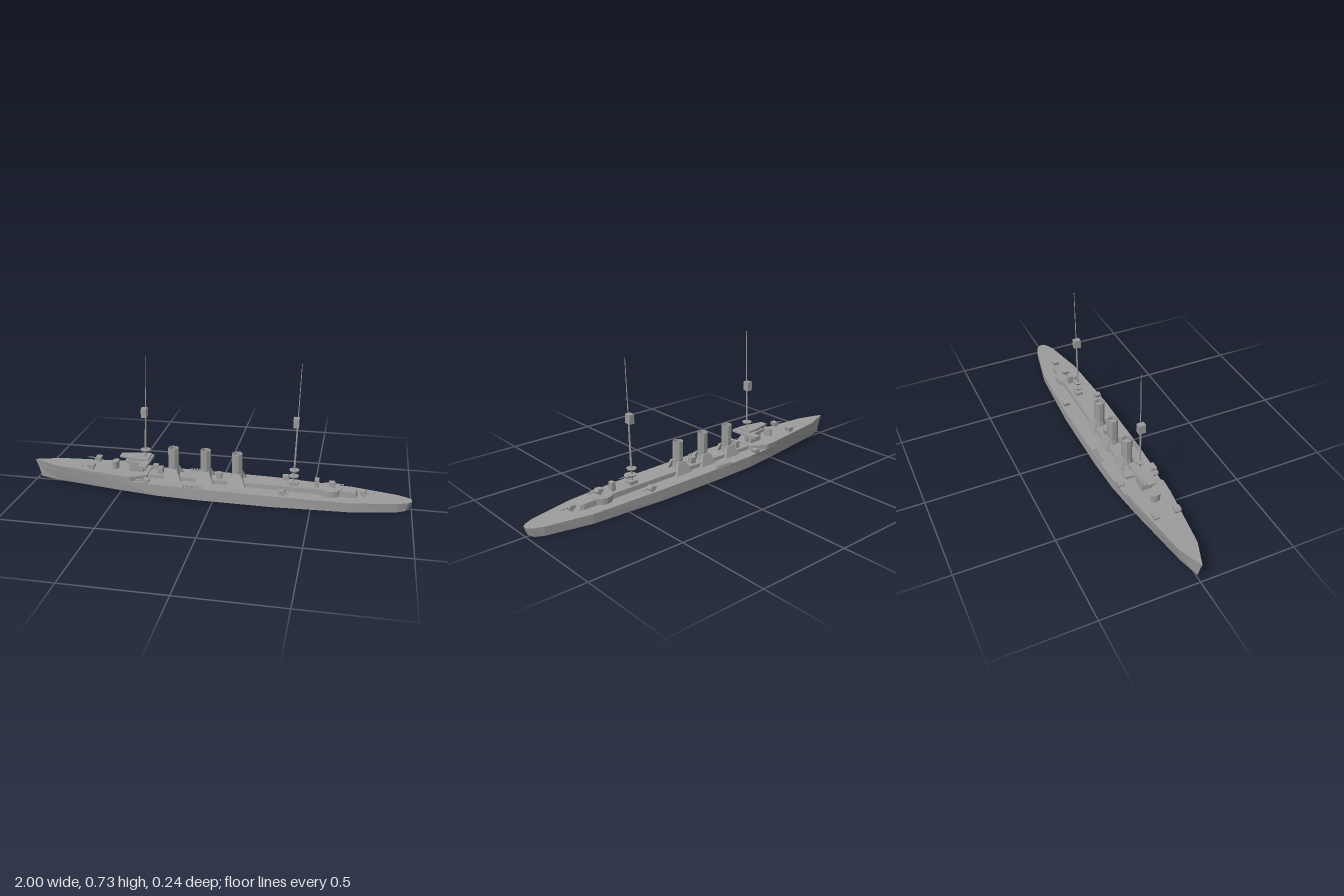
import * as THREE from 'three';

const grey = new THREE.MeshStandardMaterial({ color: 0x9c9c9c });
grey.name = 'ship grey';

export function createModel() {
  const ship = new THREE.Group();
  ship.name = 'warship';

  // Adds a faceted mesh at a position
  function add(name, geometry, x = 0, y = 0, z = 0, parent = ship) {
    const g = geometry.index ? geometry.toNonIndexed() : geometry;
    g.computeVertexNormals();
    const mesh = new THREE.Mesh(g, grey);
    mesh.name = name;
    mesh.position.set(x, y, z);
    parent.add(mesh);
    return mesh;
  }

  // Box standing on y0
  const box = (name, x, y0, z, w, h, d) =>
    add(name, new THREE.BoxGeometry(w, h, d), x, y0 + h / 2, z);

  // Drum standing on y0
  const drum = (name, x, y0, z, rTop, rBottom, h, sides, parent) =>
    add(name, new THREE.CylinderGeometry(rTop, rBottom, h, sides), x, y0 + h / 2, z, parent);

  // Four-sided sections joined along x: [bottom x, y, half width, top x, y, half width]
  function loft(stations) {
    const rings = stations.map(([xb, yb, wb, xt, yt, wt]) =>
      [[xb, yb, wb], [xb, yb, -wb], [xt, yt, -wt], [xt, yt, wt]]);
    const pos = [];
    const quad = (a, b, c, d) => pos.push(...a, ...b, ...c, ...a, ...c, ...d);
    for (let s = 0; s < rings.length - 1; s++) {
      for (let i = 0; i < 4; i++) {
        const j = (i + 1) % 4;
        quad(rings[s][i], rings[s][j], rings[s + 1][j], rings[s + 1][i]);
      }
    }
    quad(...rings[0].slice().reverse());
    quad(...rings[rings.length - 1]);
    const g = new THREE.BufferGeometry();
    g.setAttribute('position', new THREE.Float32BufferAttribute(pos, 3));
    return g;
  }

  // Flat outline in x,z given thickness upward
  function plate(name, points, y, thickness) {
    const shape = new THREE.Shape(points.map(([x, z]) => new THREE.Vector2(x, -z)));
    const g = new THREE.ExtrudeGeometry(shape, { depth: thickness, bevelEnabled: false });
    return add(name, g.rotateX(-Math.PI / 2), 0, y, 0);
  }

  // Hull and raised forecastle
  add('hull', loft([
    [-0.97, 0.018, 0.001, -0.985, 0.076, 0.001],
    [-0.86, 0.017, 0.03, -0.865, 0.076, 0.044],
    [-0.52, 0.015, 0.085, -0.52, 0.076, 0.095],
    [-0.3, 0.012, 0.112, -0.3, 0.075, 0.114],
    [-0.1, 0.01, 0.12, -0.1, 0.073, 0.12],
    [0.3, 0.007, 0.12, 0.3, 0.066, 0.12],
    [0.7, 0.004, 0.097, 0.7, 0.055, 0.1],
    [0.93, 0.003, 0.048, 0.93, 0.051, 0.053],
    [0.97, 0.002, 0.025, 0.98, 0.05, 0.032],
    [0.985, 0.008, 0.01, 1, 0.05, 0.014],
  ]));
  add('forecastle', loft([
    [-0.985, 0.075, 0.001, -1, 0.115, 0.001],
    [-0.865, 0.075, 0.044, -0.87, 0.111, 0.05],
    [-0.52, 0.075, 0.095, -0.52, 0.103, 0.097],
    [-0.44, 0.075, 0.101, -0.44, 0.101, 0.102],
    [-0.36, 0.073, 0.055, -0.36, 0.1, 0.055],
  ]));

  // Long central deckhouse and round aft gun platform
  add('deckhouse', loft([
    [-0.37, 0.06, 0.037, -0.37, 0.094, 0.035],
    [0.64, 0.05, 0.037, 0.64, 0.086, 0.035],
    [0.71, 0.05, 0.035, 0.7, 0.083, 0.033],
    [0.73, 0.05, 0.028, 0.72, 0.08, 0.026],
  ]));
  drum('aftGunPlatform', 0.59, 0.05, 0, 0.06, 0.06, 0.039, 16);

  // Bridge
  const tower = drum('conningTower', -0.545, 0.1, 0, 0.027, 0.027, 0.045, 12);
  tower.scale.x = 0.65;
  box('bridgeHouse', -0.425, 0.098, 0, 0.075, 0.05, 0.055);
  plate('bridgeDeck', [[-0.485, 0.025], [-0.4, 0.04], [-0.4, 0.085], [-0.355, 0.085],
    [-0.355, -0.085], [-0.4, -0.085], [-0.4, -0.04], [-0.485, -0.025]], 0.145, 0.014);
  box('chartHouse', -0.43, 0.158, 0, 0.07, 0.016, 0.04);
  plate('bridgeRoof', [[-0.515, 0.02], [-0.4, 0.043], [-0.355, 0.043],
    [-0.355, -0.043], [-0.4, -0.043], [-0.515, -0.02]], 0.173, 0.009);

  // Funnels with sloping side casings
  [[-0.228, 0.242], [-0.057, 0.242], [0.11, 0.236]].forEach(([x, top]) => {
    const profile = [[0.034, 0.085], [0.028, 0.12], [0.028, top], [0.023, top], [0.023, top - 0.02], [0, top - 0.02]];
    const g = new THREE.LatheGeometry(profile.map(p => new THREE.Vector2(...p)), 8, Math.PI / 8);
    add('funnel', g, x, 0, 0);
    for (const side of [1, -1]) {
      const casing = new THREE.BoxGeometry(0.104, 0.065, 0.022);
      const p = casing.attributes.position;
      for (let i = 0; i < p.count; i++) {
        if (p.getY(i) > 0) {
          p.setX(i, p.getX(i) * 0.45);
          p.setZ(i, p.getZ(i) * 0.6 - side * 0.018);
        }
      }
      add('funnelCasing', casing, x, 0.0975, side * 0.045);
    }
  });

  // Shielded guns; dir is the way the barrel points along x
  function gun(x, y, z, dir) {
    const group = new THREE.Group();
    group.name = 'deckGun';
    group.position.set(x, y, z);
    group.rotation.y = dir < 0 ? Math.PI : 0;
    ship.add(group);
    drum('gunPedestal', 0, 0, 0, 0.009, 0.013, 0.014, 8, group);
    const side = new THREE.Shape([[-0.018, 0.03], [-0.014, 0.012], [0.014, 0.008], [0.018, 0.02], [0.01, 0.032]]
      .map(p => new THREE.Vector2(...p)));
    const shield = new THREE.ExtrudeGeometry(side, { depth: 0.032, bevelEnabled: false });
    add('gunShield', shield, 0, 0, -0.016, group);
    const barrel = drum('gunBarrel', 0, 0, 0, 0.002, 0.003, 0.05, 6, group);
    barrel.rotation.z = -Math.PI / 2;
    barrel.position.set(0.034, 0.02, 0);
  }
  for (const side of [1, -1]) {
    gun(-0.66, 0.107, side * 0.056, -1);
    gun(-0.355, 0.066, side * 0.095, -1);
    gun(0.355, 0.062, side * 0.095, 1);
    // Slatted rafts at the deck edge
    for (let i = 0; i < 7; i++)
      box('raftSlat', -0.155 + i * 0.015, 0.07, side * 0.106, 0.008, 0.012, 0.02);
    box('raftBase', -0.11, 0.068, side * 0.106, 0.1, 0.008, 0.016);
  }
  gun(0.6, 0.089, 0, 1);
  gun(0.757, 0.054, 0, 1);

  // Deck boxes and ventilators
  box('forwardVent', -0.3, 0.09, 0, 0.028, 0.038, 0.03);
  box('middleVent', 0.015, 0.088, 0, 0.03, 0.034, 0.03);
  box('aftVent', 0.522, 0.085, 0, 0.022, 0.046, 0.03);
  box('aftMastHouse', 0.405, 0.085, 0, 0.045, 0.022, 0.04);

  // Raked masts with lookout box and searchlight platforms
  function mast(x, platforms) {
    const lean = y => x + (y - 0.08) * 0.035;
    const pole = (name, y0, y1, r0, r1) => {
      const m = drum(name, 0, 0, 0, r1, r0, y1 - y0, 6);
      m.position.set((lean(y0) + lean(y1)) / 2, (y0 + y1) / 2, 0);
      m.rotation.z = -Math.atan(0.035);
    };
    pole('lowerMast', 0.08, 0.43, 0.006, 0.004);
    pole('topMast', 0.4, 0.73, 0.003, 0.0018);
    box('lookoutBox', lean(0.42) - 0.007, 0.402, 0, 0.028, 0.048, 0.036);
    for (const y of platforms)
      drum('searchlightPlatform', lean(y), y - 0.004, 0, 0.027, 0.021, 0.009, 8);
  }
  mast(-0.384, [0.217]);
  mast(0.402, [0.165, 0.132]);

  return ship;
}
